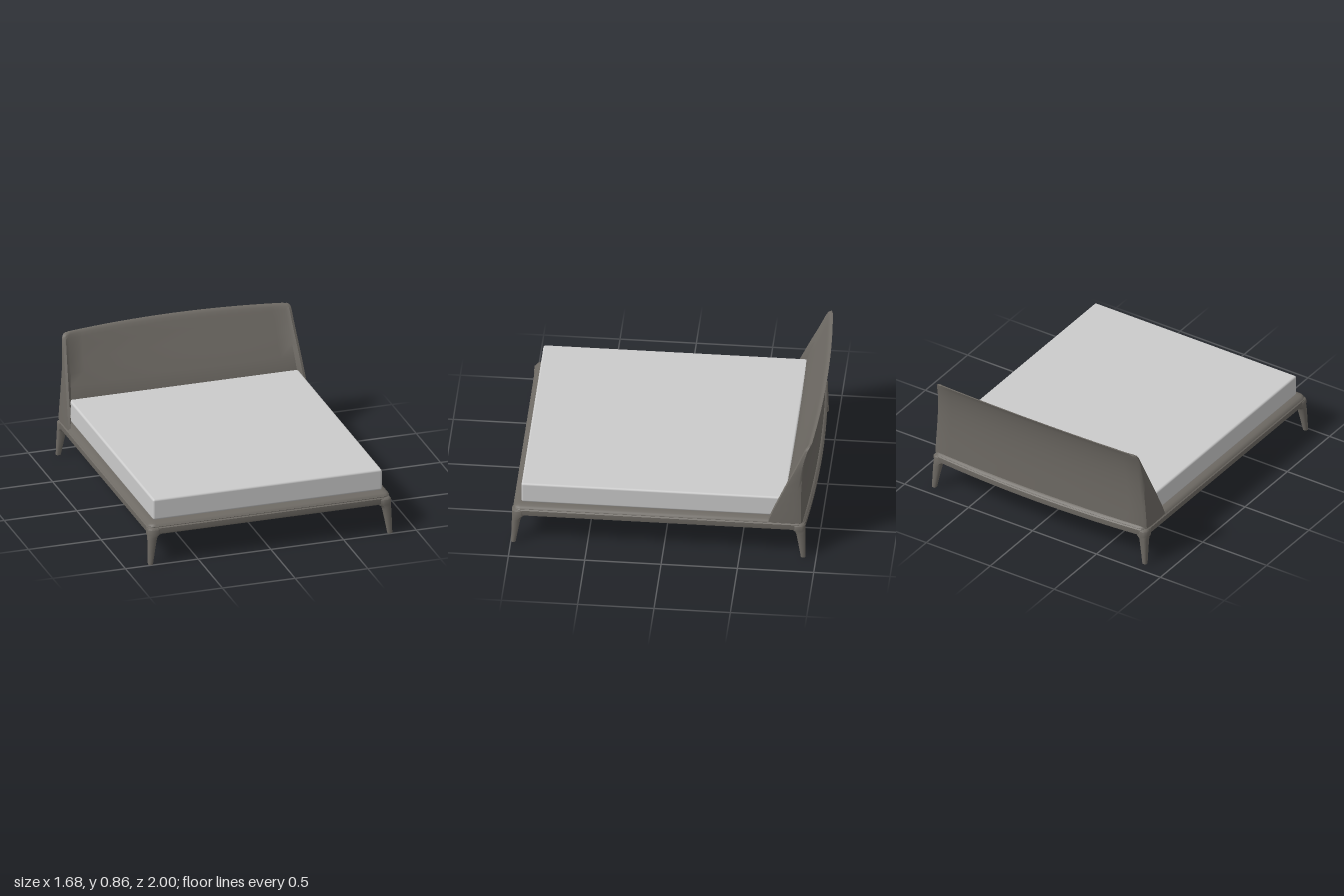
import * as THREE from 'three';
import { toCreasedNormals } from 'three/addons/utils/BufferGeometryUtils.js';
import { RoundedBoxGeometry } from 'three/addons/geometries/RoundedBoxGeometry.js';

const upholstery = new THREE.MeshStandardMaterial({ color: 0x6e6a64 });
upholstery.name = 'taupe upholstery';
const linen = new THREE.MeshStandardMaterial({ color: 0xcbcbcb });
linen.name = 'pale linen';

// Skins equal rings of [x, y, z] points, listed anticlockwise seen from above.
// wrap joins the last ring to the first; otherwise both ends are capped.
function loft(rings, wrap, crease) {
  const n = rings[0].length, m = rings.length, index = [];
  const quad = (a, b, c, d) => index.push(a, b, c, a, c, d);
  for (let i = 0; i < (wrap ? m : m - 1); i++) {
    const lo = i * n, hi = ((i + 1) % m) * n;
    for (let j = 0; j < n; j++) {
      const k = (j + 1) % n;
      quad(lo + j, lo + k, hi + k, hi + j);
    }
  }
  if (!wrap) {
    const top = (m - 1) * n;
    for (let j = 0; j < n / 2 - 1; j++) {
      quad(top + j, top + j + 1, top + n - 2 - j, top + n - 1 - j);
      quad(n - 1 - j, n - 2 - j, j + 1, j);
    }
  }
  const g = new THREE.BufferGeometry();
  g.setAttribute('position', new THREE.Float32BufferAttribute(rings.flat(2), 3));
  g.setIndex(index);
  return toCreasedNormals(g, crease);
}

function mesh(name, geometry, material) {
  const m = new THREE.Mesh(geometry, material);
  m.name = name;
  return m;
}

// Rounded rectangle with a back edge that bows outward
function frameRing(inset, y) {
  const X = 0.832 - inset, front = 0.988 - inset, back = -0.922 + inset;
  const r = Math.max(0.012, 0.05 - inset), pts = [];
  const corner = (sx, sz, start) => {
    for (let i = 0; i <= 5; i++) {
      const a = start + (i / 5) * Math.PI / 2;
      const cz = sz > 0 ? front - r : back + r;
      pts.push([sx * (X - r) + r * Math.sin(a), y, cz + r * Math.cos(a)]);
    }
  };
  corner(1, 1, 0);
  corner(1, -1, Math.PI / 2);
  for (let i = 1; i < 16; i++) pts.push([(X - r) * (1 - i / 8), y, back]);
  corner(-1, -1, Math.PI);
  corner(-1, 1, Math.PI * 1.5);
  return pts.map(([x, py, z]) => [x, py, z < -0.7 ? z - 0.043 * (1 - (x / 0.832) ** 2) : z]);
}

// Tapered leg with a flare into the rail; sx, sz choose the corner
function legGeometry(sx, sz) {
  const outerX = 0.838, outerZ = sz > 0 ? 0.998 : 0.93;
  // height, width, outward inset
  const levels = [[0, 0.03, 0], [0.1, 0.047, 0.002], [0.17, 0.06, 0.004],
    [0.19, 0.068, 0.004], [0.203, 0.09, 0.004], [0.24, 0.09, 0.003], [0.252, 0.075, 0.014]];
  const rings = levels.map(([y, w, inset]) => {
    const x1 = outerX - inset, z1 = outerZ - inset, c = w * 0.22;
    const x0 = outerX - w, z0 = outerZ - w;
    const ring = [[x0 + c, z1], [x1 - c, z1], [x1, z1 - c], [x1, z0 + c],
      [x1 - c, z0], [x0 + c, z0], [x0, z0 + c], [x0, z1 - c]]
      .map(([x, z]) => [sx * x, y, sz * z]);
    return sx * sz < 0 ? ring.reverse() : ring;
  });
  return loft(rings, false, 0.9);
}

// One level of the wraparound headboard:
// height, half width, wing tip z, inner face z, back z
function headboardRing([y, X, tip, inner, back]) {
  const t = (y - 0.262) / 0.598;
  const fold = X - 0.045, sideBack = back + 0.04;
  const front = [], rear = [];
  for (let i = 0; i <= 8; i++) {
    const s = i / 8;
    front.push([s * fold, inner + 0.04 * t * (s * fold / X) ** 2]);
    rear.push([s * X * 0.97, back + 0.034 * s * s]);
  }
  front.push([X - 0.02, tip], [X - 0.004, tip - 0.006]);
  rear.push([X * 0.993, sideBack + 0.006],
    [X, tip + (sideBack - tip) * 0.75]);
  const mirror = (half) => half.slice(1).reverse().map(([x, z]) => [-x, z]);
  const loop = [...mirror(front), ...front, ...rear.slice().reverse(),
    ...mirror(rear).reverse()];
  return loop.map(([x, z]) => [x, y - 0.018 * t * (x / X) ** 2, z]);
}

export function createModel() {
  const bed = new THREE.Group();
  bed.name = 'bed';

  // Frame: profile of [inset, height] swept round, with a groove under the lip
  const profile = [[0.012, 0.203], [0.002, 0.21], [0, 0.222], [0, 0.248], [0.008, 0.254],
    [0.008, 0.257], [0.001, 0.261], [0.006, 0.269], [0.02, 0.277], [0.045, 0.282],
    [0.122, 0.282], [0.122, 0.203]];
  bed.add(mesh('frame', loft(profile.map(([d, y]) => frameRing(d, y)), true, 0.7), upholstery));

  // Legs
  for (const sx of [1, -1]) {
    for (const sz of [1, -1]) {
      const name = (sz > 0 ? 'front' : 'back') + (sx > 0 ? 'Left' : 'Right') + 'Leg';
      bed.add(mesh(name, legGeometry(sx, sz), upholstery));
    }
  }

  // Mattress
  const mattress = mesh('mattress', new RoundedBoxGeometry(1.576, 0.146, 1.735, 3, 0.014), linen);
  mattress.position.set(0, 0.36, 0.0675);
  bed.add(mattress);

  // Headboard
  const levels = [
    [0.262, 0.833, -0.68, -0.775, -0.945],
    [0.3, 0.831, -0.692, -0.78, -0.945],
    [0.36, 0.827, -0.715, -0.787, -0.945],
    [0.44, 0.821, -0.75, -0.8, -0.945],
    [0.52, 0.815, -0.785, -0.832, -0.947],
    [0.6, 0.808, -0.82, -0.866, -0.951],
    [0.68, 0.801, -0.857, -0.902, -0.958],
    [0.76, 0.794, -0.892, -0.938, -0.97],
    [0.82, 0.789, -0.917, -0.963, -0.984],
    [0.842, 0.785, -0.929, -0.974, -0.991],
    [0.854, 0.776, -0.942, -0.983, -0.996],
    [0.86, 0.762, -0.954, -0.991, -0.999],
  ];
  bed.add(mesh('headboard', loft(levels.map(headboardRing), false, 0.75), upholstery));

  return bed;
}
